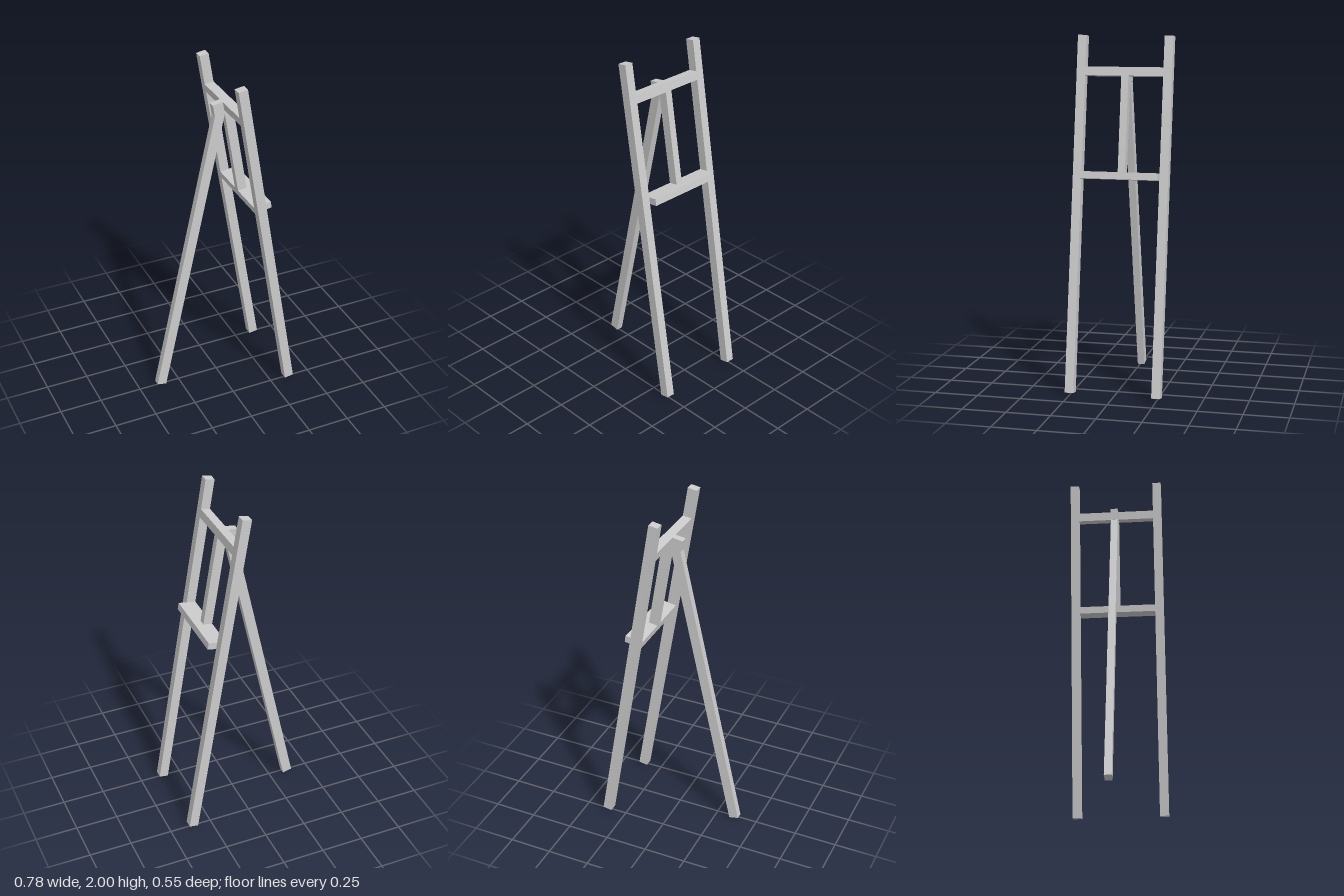
import * as THREE from 'three';

const material = new THREE.MeshStandardMaterial({ color: 0xcccccc, flatShading: true });

// Box given by its [min, max] ranges along the local x, y and z axes
function bar(name, [x0, x1], [y0, y1], [z0, z1]) {
  const mesh = new THREE.Mesh(new THREE.BoxGeometry(x1 - x0, y1 - y0, z1 - z0), material);
  mesh.position.set((x0 + x1) / 2, (y0 + y1) / 2, (z0 + z1) / 2);
  mesh.name = name;
  return mesh;
}

export function createModel() {
  const easel = new THREE.Group();
  easel.name = 'easel';

  const half = 0.027;            // half thickness of the front frame
  const inner = 0.223, outer = 0.273;
  const centre = [-0.026, 0.015]; // z range of the middle parts

  // Leaning front frame, local y runs up along the legs
  const frame = new THREE.Group();
  frame.name = 'frontFrame';
  frame.position.set(0.363, 0.0135, 0);
  frame.rotation.z = 0.1658;
  frame.add(
    bar('leftFrontLeg', [-half, half], [0, 2.009], [inner, outer]),
    bar('rightFrontLeg', [-half, half], [0, 2.009], [-outer, -inner]),
    bar('topRail', [-half, half], [1.783, 1.832], [-inner, inner]),
    bar('shelf', [-half, half + 0.05], [1.204, 1.244], [-inner, inner]),
    bar('middleBar', [-half, half], [1.244, 1.783], centre),
    bar('hingeBlock', [-0.087, -half], [1.765, 1.831], centre)
  );

  // Rear leg leaning the other way, meeting the hinge block
  const rear = new THREE.Group();
  rear.name = 'rearSupport';
  rear.position.set(-0.364, 0.0065, 0);
  rear.rotation.z = -0.2165;
  rear.add(bar('rearLeg', [-0.0285, 0.0285], [0, 1.795], centre));

  easel.add(frame, rear);
  return easel;
}
